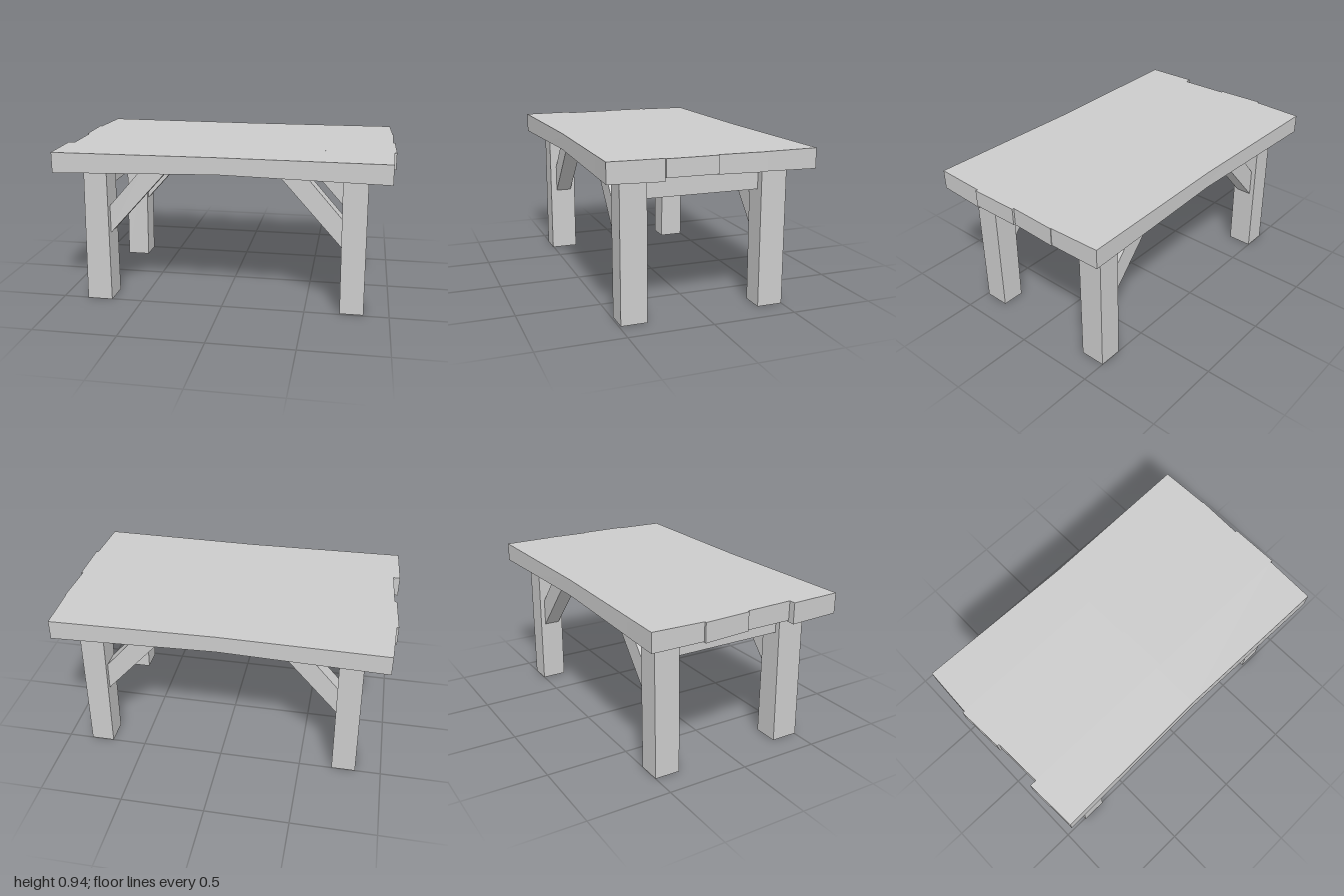
import * as THREE from 'three';

const material = new THREE.MeshStandardMaterial({ color: 0xcccccc });
const mix = THREE.MathUtils.lerp;

// Box whose unit-space vertices (0..1 on each axis) are moved by a rule
function shapedBox(name, segments, rule) {
  const geometry = new THREE.BoxGeometry(1, 1, 1, segments, 1, 1).translate(0.5, 0.5, 0.5);
  const p = geometry.attributes.position;
  for (let i = 0; i < p.count; i++) {
    p.setXYZ(i, ...rule(p.getX(i), p.getY(i), p.getZ(i)));
  }
  geometry.computeVertexNormals();
  const mesh = new THREE.Mesh(geometry, material);
  mesh.name = name;
  return mesh;
}

// Plank: x ends given as [at back, at front], outer edge bowed in, hollowed underside
function plank({ name, z, left, right, bottomLeft, bottomRight, bowBack = 0, bowFront = 0 }) {
  return shapedBox(name, 2, (u, v, w) => {
    const bend = 1 - Math.abs(2 * u - 1);
    const x = mix(mix(left[0], left[1], w), mix(right[0], right[1], w), u);
    const ends = mix(mix(bottomLeft[0], bottomLeft[1], w), mix(bottomRight[0], bottomRight[1], w), u);
    const bottom = mix(ends, 0.84, bend);
    return [x, mix(bottom, 0.94, v), mix(z[0] + bowBack * bend, z[1] - bowFront * bend, w)];
  });
}

// Leg tapering between a foot and a top rectangle [x0, x1, z0, z1]
function leg(name, foot, top) {
  return shapedBox(name, 1, (u, v, w) => {
    const r = foot.map((f, i) => mix(f, top[i], v));
    return [mix(r[0], r[1], u), v * 0.84, mix(r[2], r[3], w)];
  });
}

// Diagonal brace from the inner face of a leg up to the tabletop
function brace(name, side, zCentre) {
  const outline = [[0.715, 0.395], [0.31, 0.845], [0.47, 0.845], [0.715, 0.565]];
  const shape = new THREE.Shape(outline.map(([x, y]) => new THREE.Vector2(side * x, y)));
  const depth = 0.1;
  const geometry = new THREE.ExtrudeGeometry(shape, { depth, bevelEnabled: false });
  const mesh = new THREE.Mesh(geometry, material);
  mesh.position.z = zCentre - depth / 2;
  mesh.name = name;
  return mesh;
}

export function createModel() {
  const table = new THREE.Group();
  table.name = 'plankTable';

  // Tabletop of four uneven planks, back to front
  const top = new THREE.Group();
  top.name = 'tabletop';
  const planks = [
    { name: 'backPlank', z: [-0.603, -0.295], left: [-0.975, -0.987], right: [0.98, 0.99],
      bottomLeft: [0.825, 0.83], bottomRight: [0.824, 0.832], bowBack: 0.018 },
    { name: 'backMiddlePlank', z: [-0.295, -0.01], left: [-1, -0.985], right: [0.994, 0.985],
      bottomLeft: [0.825, 0.83], bottomRight: [0.83, 0.834] },
    { name: 'frontMiddlePlank', z: [-0.01, 0.287], left: [-0.972, -0.96], right: [0.997, 0.999],
      bottomLeft: [0.83, 0.825], bottomRight: [0.839, 0.84] },
    { name: 'frontPlank', z: [0.287, 0.6], left: [-1, -0.987], right: [0.986, 0.975],
      bottomLeft: [0.815, 0.818], bottomRight: [0.818, 0.824], bowFront: 0.018 },
  ];
  planks.forEach((p) => top.add(plank(p)));
  table.add(top);

  // Legs, slightly irregular
  table.add(
    leg('frontRightLeg', [-0.845, -0.69, 0.335, 0.505], [-0.83, -0.69, 0.335, 0.505]),
    leg('frontLeftLeg', [0.71, 0.85, 0.335, 0.49], [0.70, 0.845, 0.335, 0.49]),
    leg('backRightLeg', [-0.845, -0.70, -0.5, -0.345], [-0.83, -0.69, -0.5, -0.345]),
    leg('backLeftLeg', [0.71, 0.85, -0.5, -0.345], [0.70, 0.845, -0.5, -0.345]),
  );

  for (const side of [-1, 1]) {
    const label = side < 0 ? 'Right' : 'Left';
    // End rail joining the two legs
    const rail = new THREE.Mesh(new THREE.BoxGeometry(0.075, 0.155, 0.74), material);
    rail.name = `end${label}Rail`;
    rail.position.set(side * 0.762, 0.7675, 0);
    table.add(rail);
    // Front and back diagonal braces
    table.add(brace(`front${label}Brace`, side, 0.415), brace(`back${label}Brace`, side, -0.42));
  }
  return table;
}
